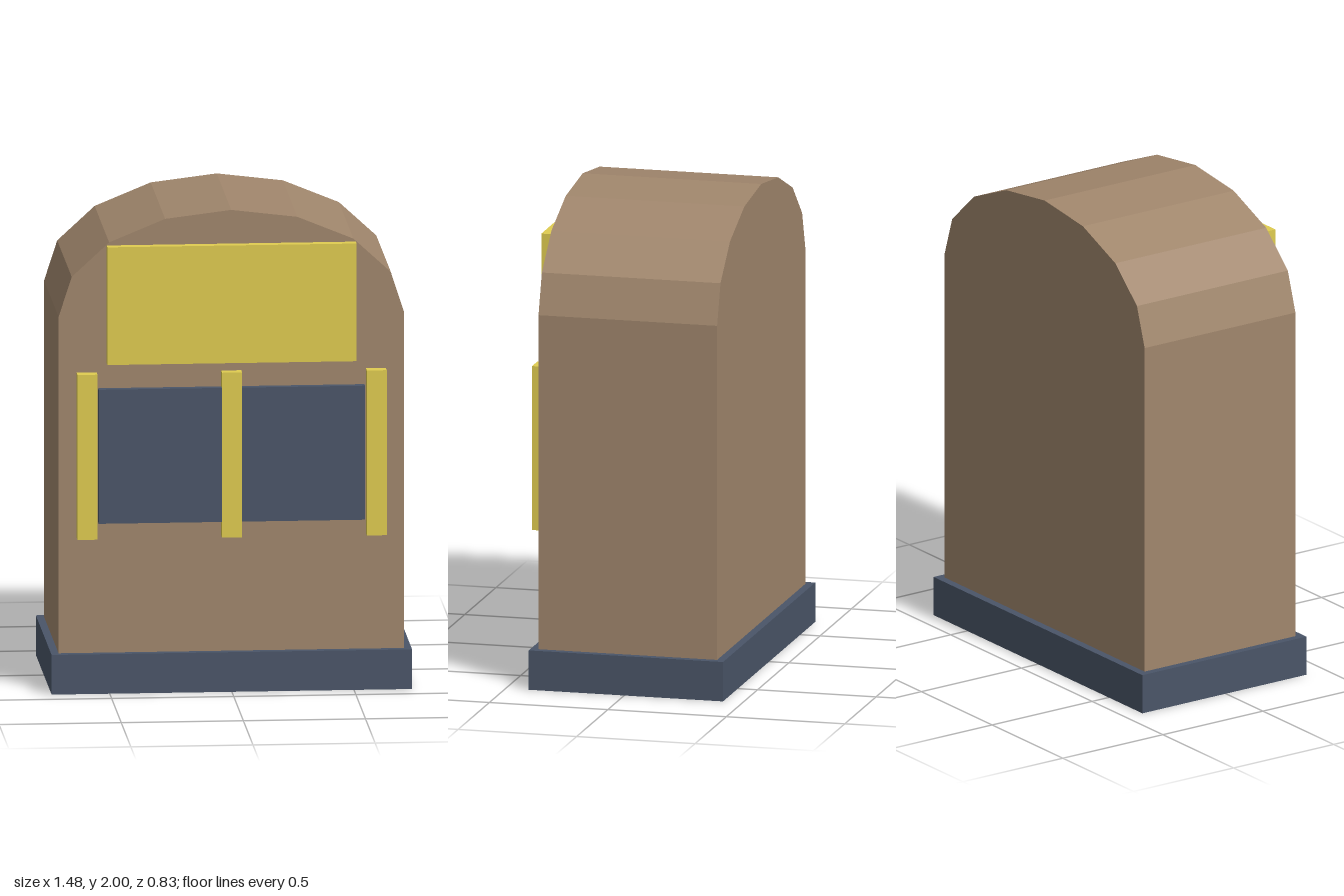
import * as THREE from 'three';

const paint = (color) => new THREE.MeshStandardMaterial({ color, flatShading: true });

export function createModel() {
  const group = new THREE.Group();
  const tan = paint(0xa0866c), slate = paint(0x4a5568), yellow = paint(0xdfcc50);

  // box given by its limits on each axis
  const box = (name, material, [x0, x1], [y0, y1], [z0, z1]) => {
    const mesh = new THREE.Mesh(new THREE.BoxGeometry(x1 - x0, y1 - y0, z1 - z0), material);
    mesh.position.set((x0 + x1) / 2, (y0 + y1) / 2, (z0 + z1) / 2);
    mesh.name = name;
    group.add(mesh);
  };

  // body: upright slab with an eight-sided elliptical arch on top
  const halfWidth = 0.707, spring = 1.565, rise = 0.435, front = 0.37, back = -0.384;
  const outline = new THREE.Shape();
  outline.moveTo(-halfWidth, 0.01);
  outline.lineTo(halfWidth, 0.01);
  for (let i = 0; i <= 8; i++) {
    const a = (i / 8) * Math.PI;
    outline.lineTo(halfWidth * Math.cos(a), spring + rise * Math.sin(a));
  }
  outline.closePath();
  const body = new THREE.Mesh(
    new THREE.ExtrudeGeometry(outline, { depth: front - back, bevelEnabled: false }), tan);
  body.position.z = back;
  body.name = 'archedBody';
  group.add(body);

  // plinth under the body
  box('base', slate, [-0.738, 0.738], [0, 0.165], [-0.417, 0.403]);

  // front panels
  box('signPanel', yellow, [-0.51, 0.51], [1.37, 1.86], [0.36, 0.41]);
  box('windowPanel', slate, [-0.545, 0.545], [0.708, 1.266], [0.36, 0.403]);

  // upright bars beside and across the window
  for (const [name, x] of [['rightBar', -0.592], ['middleBar', 0], ['leftBar', 0.592]]) {
    box(name, yellow, [x - 0.041, x + 0.041], [0.645, 1.332], [0.36, 0.417]);
  }

  return group;
}
